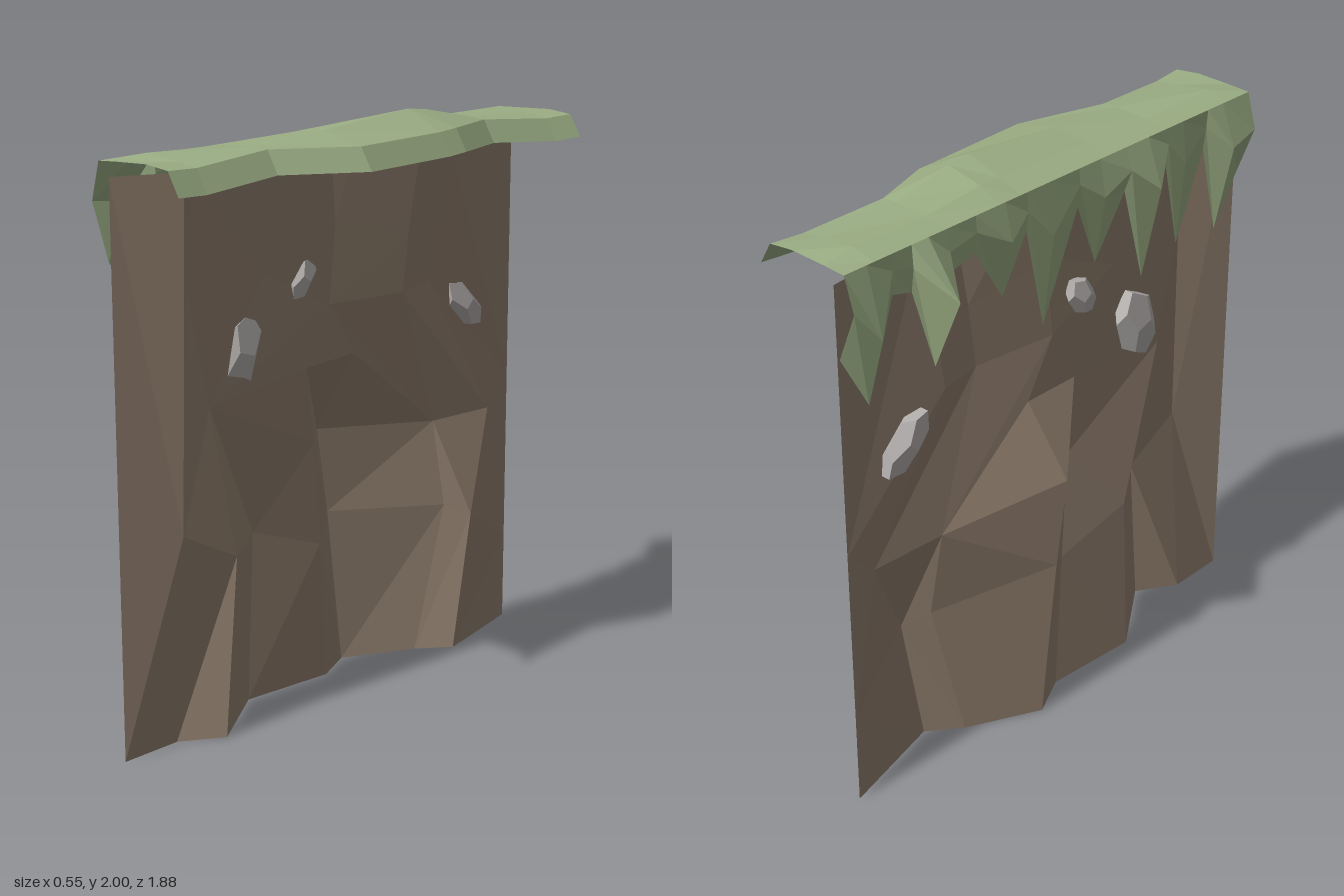
import * as THREE from 'three';

const material = (color) =>
  new THREE.MeshStandardMaterial({ color, flatShading: true, side: THREE.DoubleSide });

// Joins neighbouring polylines with triangles; they may differ in point count.
// key(point, index) says how far along its line a point lies.
function loft(lines, key) {
  const out = [];
  for (let c = 0; c + 1 < lines.length; c++) {
    const a = lines[c], b = lines[c + 1];
    let i = 0, j = 0;
    while (i < a.length - 1 || j < b.length - 1) {
      const ka = i < a.length - 1 ? key(a[i + 1], i + 1) : Infinity;
      const kb = j < b.length - 1 ? key(b[j + 1], j + 1) : Infinity;
      if (ka <= kb) out.push(...a[i], ...b[j], ...a[++i]);
      else out.push(...a[i], ...b[j], ...b[++j]);
    }
  }
  const g = new THREE.BufferGeometry();
  g.setAttribute('position', new THREE.Float32BufferAttribute(out, 3));
  g.computeVertexNormals();
  return g;
}

export function createModel() {
  const model = new THREE.Group();
  const add = (name, geometry, mat) => {
    const mesh = new THREE.Mesh(geometry, mat);
    mesh.name = name;
    model.add(mesh);
    return mesh;
  };
  const earth = material(0x938170), grass = material(0x9bae84), rock = material(0xb4b0ae);

  // Cliff face: vertical creases as [y, z, x], running from front to back
  const creases = [
    [[0, 0.94, -0.11], [1.88, 0.94, -0.11]],
    [[0, 0.72, -0.11], [0.72, 0.73, -0.045], [1.88, 0.72, -0.02]],
    [[0, 0.58, -0.02], [0.6, 0.5, -0.045], [1.1, 0.56, -0.1], [1.52, 0.64, -0.11], [1.88, 0.6, -0.12]],
    [[0, 0.31, -0.2], [0.6, 0.29, -0.19], [1.1, 0.56, -0.1], [1.5, 0.3, -0.115], [1.88, 0.3, -0.11]],
    [[0, -0.04, -0.17], [0.5, 0.01, -0.15], [0.88, 0.06, -0.125], [1.15, 0.11, -0.11],
      [1.35, 0, -0.11], [1.62, 0, -0.1], [1.88, 0, -0.1]],
    [[0, -0.19, -0.24], [0.57, -0.12, -0.24], [0.88, -0.07, -0.24], [1.16, -0.13, -0.12], [1.35, 0, -0.11],
      [1.62, -0.02, -0.1], [1.88, -0.1, -0.085]],
    [[0, -0.44, -0.11], [0.53, -0.56, -0.08], [0.84, -0.54, -0.12], [1.35, -0.32, -0.07],
      [1.57, -0.34, -0.06], [1.88, -0.37, -0.03]],
    [[0, -0.55, -0.02], [0.49, -0.64, -0.02], [0.84, -0.82, -0.1], [1.36, -0.5, -0.11], [1.88, -0.55, -0.07]],
    [[0, -0.94, -0.11], [0.32, -0.94, -0.11], [0.95, -0.94, -0.11], [1.88, -0.94, -0.11]],
  ].map((line) => line.map(([y, z, x]) => [x, y, z]));
  add('cliffFace', loft(creases, (p) => p[1]), earth);

  // Turf on top: [z, lip x, lip bottom, crown height, shoulder height]
  const turf = [
    [0.94, 0.2, 1.85, 1.935, 1.93], [0.82, 0.19, 1.845, 1.93, 1.945], [0.5, 0.16, 1.865, 1.945, 1.935],
    [0.2, 0.27, 1.855, 1.965, 1.95], [-0.2, 0.245, 1.86, 2, 1.955], [-0.29, 0.235, 1.865, 1.99, 1.96],
    [-0.52, 0.16, 1.865, 1.945, 1.94], [-0.82, 0.19, 1.845, 1.935, 1.945], [-0.94, 0.2, 1.85, 1.935, 1.93],
  ].map(([z, lip, low, top, shoulder]) => [
    [lip, low, z], [lip - 0.045, low + 0.075, z], [0.06, top, z], [-0.07, shoulder, z], [-0.155, 1.925, z],
  ]);
  add('turfTop', loft(turf, (p, i) => i), grass);

  // Hanging grass: [z, bulge x, bulge y, tip x, tip y], long tufts between short gaps
  const tufts = [
    [0.94, -0.19, 1.8, -0.12, 1.62], [0.8, -0.21, 1.78, -0.14, 1.46], [0.72, -0.15, 1.86, -0.14, 1.78],
    [0.59, -0.17, 1.78, -0.14, 1.48], [0.51, -0.16, 1.87, -0.15, 1.79], [0.41, -0.215, 1.76, -0.14, 1.42],
    [0.3, -0.18, 1.85, -0.15, 1.77], [0.17, -0.18, 1.8, -0.14, 1.56], [0.07, -0.16, 1.87, -0.15, 1.79],
    [-0.07, -0.175, 1.75, -0.13, 1.42], [-0.17, -0.16, 1.86, -0.15, 1.79], [-0.27, -0.185, 1.8, -0.14, 1.6],
    [-0.4, -0.16, 1.87, -0.15, 1.8], [-0.52, -0.165, 1.85, -0.15, 1.77], [-0.6, -0.28, 1.75, -0.17, 1.5],
    [-0.67, -0.16, 1.85, -0.15, 1.77], [-0.75, -0.155, 1.87, -0.15, 1.79], [-0.85, -0.21, 1.7, -0.14, 1.46],
    [-0.94, -0.19, 1.81, -0.12, 1.64],
  ].map(([z, bx, by, tx, ty]) => [[-0.155, 1.925, z], [bx, by, z], [tx, ty, z]]);
  add('hangingGrass', loft(tufts, (p, i) => i), grass);

  // Stones set through the face: position, radii, tilt
  [
    [[-0.13, 1.25, 0.4], [0.045, 0.145, 0.095], -0.3],
    [[-0.125, 1.455, 0.12], [0.035, 0.085, 0.055], -0.6],
    [[-0.12, 1.25, -0.69], [0.045, 0.13, 0.065], 0.8],
  ].forEach(([pos, radii, tilt], i) => {
    const stone = add('stone' + (i + 1), new THREE.DodecahedronGeometry(1, 0), rock);
    stone.position.set(...pos);
    stone.scale.set(...radii);
    stone.rotation.x = tilt;
  });

  return model;
}
